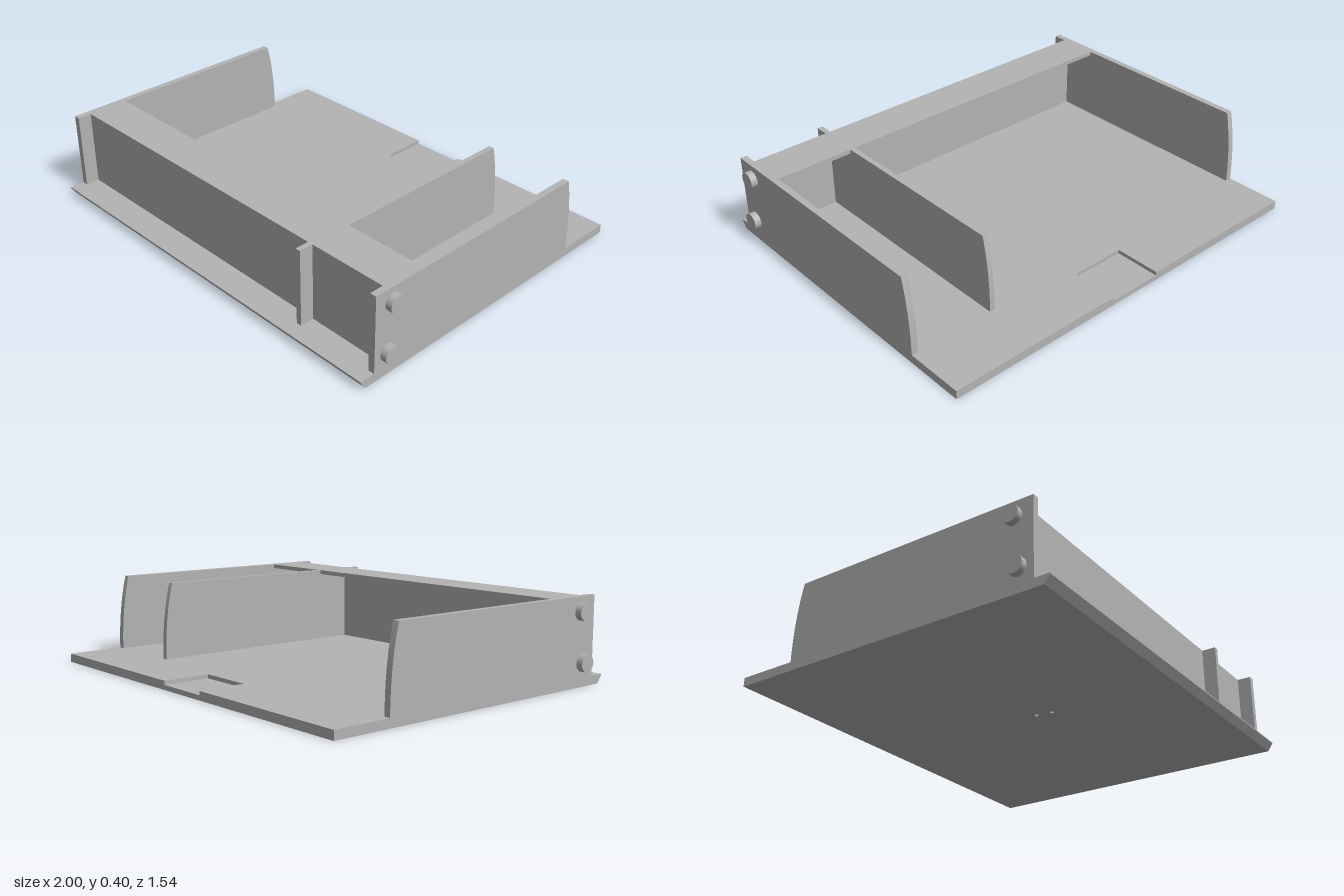
import * as THREE from 'three';

export function createModel() {
  const model = new THREE.Group();
  model.name = 'dividedTray';
  const grey = new THREE.MeshStandardMaterial({ color: 0xb3b3b3 });
  grey.name = 'plain grey';

  const add = (name, geometry) => {
    const mesh = new THREE.Mesh(geometry, grey);
    mesh.name = name;
    model.add(mesh);
    return mesh;
  };
  const box = (name, x0, x1, y0, y1, z0, z1) =>
    add(name, new THREE.BoxGeometry(x1 - x0, y1 - y0, z1 - z0))
      .position.set((x0 + x1) / 2, (y0 + y1) / 2, (z0 + z1) / 2);

  // Flat sheet drawn in plan as [x, z] corners and raised from y0 to y1
  const sheet = (name, corners, y0, y1, holes = []) => {
    const shape = new THREE.Shape(corners.map(([x, z]) => new THREE.Vector2(x, -z)));
    for (const [x, z, r] of holes) {
      shape.holes.push(new THREE.Path().absarc(x, -z, r, 0, Math.PI * 2, true));
    }
    const g = new THREE.ExtrudeGeometry(shape, { depth: y1 - y0, bevelEnabled: false });
    add(name, g.rotateX(-Math.PI / 2).translate(0, y0, 0));
  };

  // Side profile drawn as (z, y) and extruded from x0 to x1
  const profile = (name, shape, x0, x1) => {
    const g = new THREE.ExtrudeGeometry(shape, { depth: x1 - x0, bevelEnabled: false, curveSegments: 16 });
    add(name, g.rotateY(-Math.PI / 2).translate(x1, 0, 0));
  };

  // Base: lower sheet with two tiny blind holes, upper sheet with a shallow rear recess
  const W = 0.97, BACK = -0.77, LIP = 0.745;
  sheet('baseLower', [[-W, LIP], [W, LIP], [W, BACK], [-W, BACK]], 0, 0.022,
    [[-0.01, 0.15, 0.011], [-0.02, 0.075, 0.011]]);
  sheet('baseUpper', [[-W, LIP], [W, LIP], [W, BACK], [0.13, BACK], [0.13, -0.55],
    [-0.135, -0.55], [-0.135, BACK], [-W, BACK]], 0.022, 0.04);

  // Undercut front lip
  const lip = new THREE.Shape();
  lip.moveTo(LIP, 0);
  lip.lineTo(0.77, 0.035);
  lip.lineTo(0.77, 0.04);
  lip.lineTo(LIP, 0.04);
  lip.closePath();
  profile('frontLip', lip, -W, W);

  // Upright walls with a curved rear edge
  const wall = new THREE.Shape();
  wall.moveTo(-0.5, 0.04);
  wall.lineTo(0.7, 0.04);
  wall.lineTo(0.7, 0.395);
  wall.lineTo(-0.46, 0.395);
  wall.quadraticCurveTo(-0.5, 0.24, -0.5, 0.04);
  profile('rightWall', wall, -W, -0.94);
  profile('divider', wall, 0.545, 0.57);
  profile('leftWall', wall, 0.94, W);

  // Front panel and overhanging top strip in each bay
  for (const [bay, x0, x1] of [['wide', -0.94, 0.545], ['narrow', 0.57, 0.94]]) {
    box(bay + 'FrontPanel', x0, x1, 0.04, 0.375, 0.605, 0.635);
    box(bay + 'TopStrip', x0, x1, 0.375, 0.395, 0.44, 0.635);
  }

  // Round pegs on both outer walls
  for (const side of [-1, 1]) {
    for (const [label, y, z] of [['upper', 0.33, 0.61], ['lower', 0.107, 0.63]]) {
      const g = new THREE.CylinderGeometry(0.039, 0.039, 0.03, 32).rotateZ(Math.PI / 2);
      add(label + (side > 0 ? 'LeftPeg' : 'RightPeg'), g).position.set(side * 0.985, y, z);
    }
  }
  return model;
}
